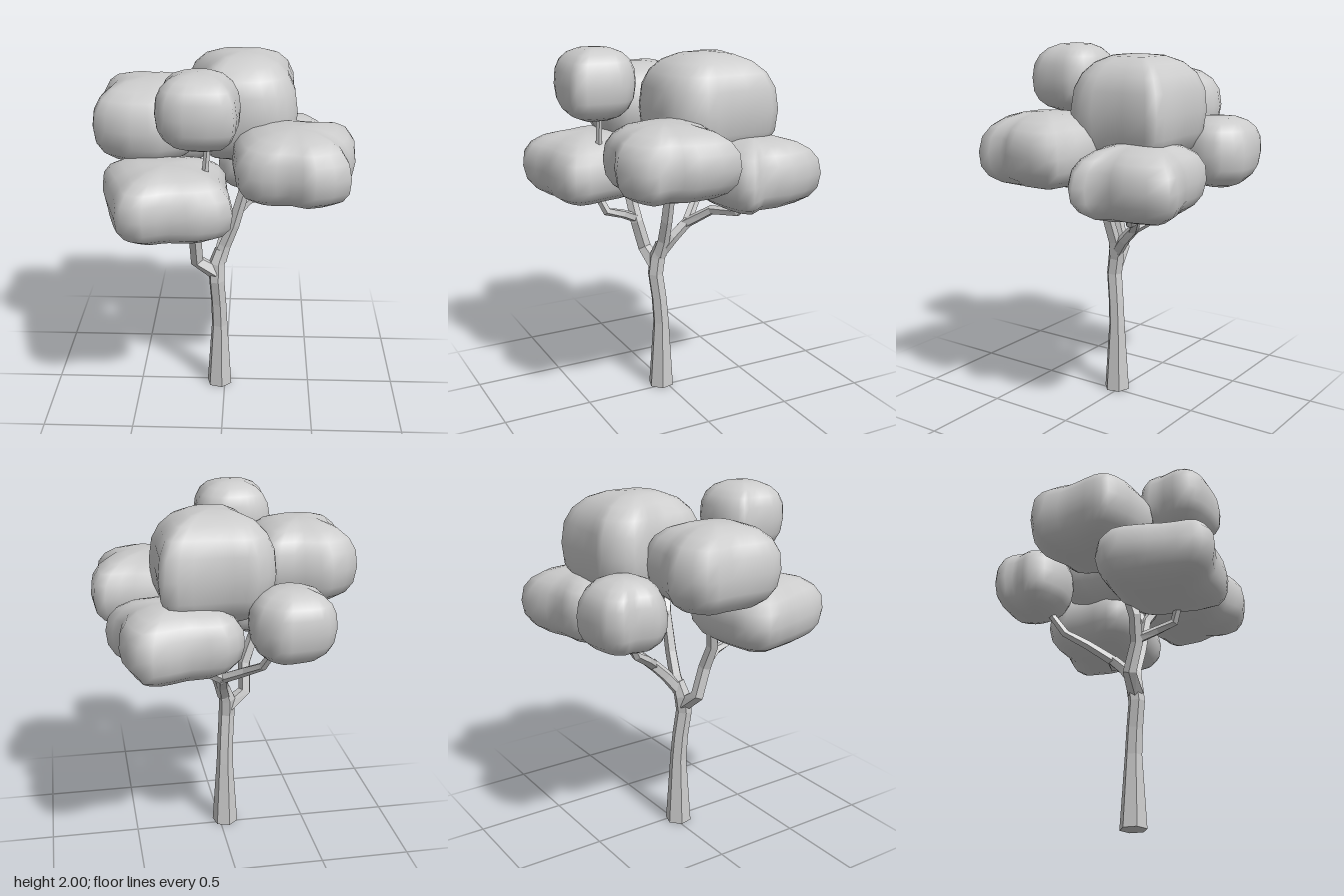
import * as THREE from 'three';

const smooth = new THREE.MeshStandardMaterial({ color: 0xcccccc });
const faceted = new THREE.MeshStandardMaterial({ color: 0xcccccc, flatShading: true });

// Closed skin over equal-sized rings, from the bottom point to the top point
function loft(name, rings, bottom, top, material) {
  const n = rings.length, sides = rings[0].length, idx = [];
  const first = n * sides, last = first + 1, t = (n - 1) * sides;
  for (let j = 0; j < sides; j++) {
    const k = (j + 1) % sides;
    for (let i = 0; i < n - 1; i++) {
      const a = i * sides + j, b = i * sides + k, c = a + sides, d = b + sides;
      idx.push(a, c, b, b, c, d);
    }
    idx.push(first, j, k, last, t + k, t + j);
  }
  const g = new THREE.BufferGeometry().setFromPoints([...rings.flat(), bottom, top]);
  g.setIndex(idx);
  g.computeVertexNormals();
  const mesh = new THREE.Mesh(g, material);
  mesh.name = name;
  return mesh;
}

// Faceted limb through stations [x, y, z, radius]
function limb(name, stations, sides = 5) {
  const pts = stations.map(s => new THREE.Vector3(s[0], s[1], s[2]));
  const up = new THREE.Vector3(0, 1, 0), n = pts.length;
  const rings = pts.map((p, i) => {
    const dir = pts[Math.min(i + 1, n - 1)].clone().sub(pts[Math.max(i - 1, 0)]).normalize();
    if (p.y === 0) dir.copy(up);
    const q = new THREE.Quaternion().setFromUnitVectors(up, dir);
    return Array.from({ length: sides }, (_, j) => {
      const a = (j / sides) * Math.PI * 2 + 0.3, r = stations[i][3];
      return new THREE.Vector3(Math.cos(a) * r, 0, Math.sin(a) * r).applyQuaternion(q).add(p);
    });
  });
  return loft(name, rings, pts[0], pts[n - 1], faceted);
}

// Leaf cushion: a plan outline [x, z] shrunk along a rounded profile from y0 to y1
function foliage(name, y0, y1, outline) {
  const pts = outline.map(([x, z]) => new THREE.Vector3(x, 0, z));
  const curve = new THREE.CatmullRomCurve3(pts, true, 'catmullrom', 0.35);
  const plan = curve.getPoints(28).slice(0, -1);
  const centre = new THREE.Box3().setFromPoints(pts).getCenter(new THREE.Vector3());
  const mid = (y0 + y1) / 2, half = (y1 - y0) / 2, power = 2 / 2.5, levels = 10;
  const rings = [];
  for (let i = 1; i < levels; i++) {
    const a = (i / levels - 0.5) * Math.PI;
    const scale = Math.cos(a) ** power;
    const y = mid + half * Math.sign(a) * Math.abs(Math.sin(a)) ** power;
    rings.push(plan.map(p => {
      const v = p.clone().sub(centre);
      // gentle lumps, fading out at the widest level
      const lump = 1 + 0.05 * Math.sin(a) * Math.sin(11 * p.x + 9 * p.z);
      return v.multiplyScalar(scale * lump).add(centre).setY(y);
    }));
  }
  return loft(name, rings, centre.clone().setY(y0), centre.clone().setY(y1), smooth);
}

export function createModel() {
  const tree = new THREE.Group();
  tree.name = 'tree';

  const wood = new THREE.Group();
  wood.name = 'wood';
  wood.add(
    limb('trunk', [
      [-0.032, 0, 0.025, 0.075], [-0.03, 0.4, 0.025, 0.048], [-0.035, 0.55, 0.035, 0.046],
      [-0.045, 0.7, 0.053, 0.046], [-0.045, 0.8, 0.04, 0.047], [-0.02, 0.88, 0.025, 0.038],
    ], 6),
    limb('frontLeftBranch', [
      [-0.03, 0.82, 0.035, 0.042], [0, 0.91, 0.025, 0.036], [0.05, 1.04, 0.03, 0.034],
      [0.11, 1.26, 0.035, 0.032], [0.2, 1.42, 0.1, 0.026],
    ]),
    limb('crownBranch', [
      [0.1, 1.2, 0.035, 0.028], [0.11, 1.35, -0.02, 0.026], [0.08, 1.6, -0.12, 0.02],
    ]),
    limb('rightBranch', [
      [-0.05, 0.75, 0.05, 0.045], [-0.155, 0.83, 0.07, 0.039], [-0.16, 0.99, 0.115, 0.037],
      [-0.21, 1.13, 0.13, 0.034], [-0.3, 1.52, 0.04, 0.026],
    ]),
    limb('frontBranch', [
      [-0.165, 1.01, 0.12, 0.028], [-0.12, 1.06, 0.22, 0.026], [-0.11, 1.09, 0.32, 0.025],
      [-0.14, 1.2, 0.37, 0.022], [-0.09, 1.45, 0.37, 0.018], [-0.07, 1.66, 0.37, 0.016],
    ]),
    limb('backBranch', [
      [-0.03, 0.83, 0.03, 0.038], [-0.005, 0.92, -0.04, 0.035], [0.01, 1.01, -0.13, 0.032],
    ]),
    limb('backLeftBranch', [
      [0.005, 0.99, -0.11, 0.031], [0.13, 1.09, -0.21, 0.028], [0.29, 1.11, -0.28, 0.025],
      [0.36, 1.22, -0.34, 0.02],
    ]),
    limb('backRightBranch', [
      [0.01, 1, -0.12, 0.03], [-0.1, 1.08, -0.23, 0.027], [-0.17, 1.15, -0.34, 0.024],
      [-0.25, 1.36, -0.47, 0.018],
    ]),
  );

  const crown = new THREE.Group();
  crown.name = 'crown';
  crown.add(
    foliage('topFoliage', 1.38, 1.97, [
      [-0.21, -0.42], [-0.1, -0.5], [0.03, -0.49], [0.26, -0.49], [0.38, -0.46], [0.375, -0.2],
      [0.39, -0.04], [0.33, 0.07], [0.19, 0.14], [-0.09, 0.13], [-0.16, 0.04], [-0.17, -0.17], [-0.22, -0.31],
    ]),
    foliage('topFrontFoliage', 1.61, 2, [
      [-0.32, 0.24], [-0.26, 0.19], [-0.18, 0.165], [-0.05, 0.165], [0.05, 0.22], [0.09, 0.3], [0.08, 0.43],
      [0.06, 0.55], [-0.07, 0.575], [-0.2, 0.57], [-0.29, 0.53], [-0.33, 0.44], [-0.31, 0.32],
    ]),
    foliage('rightFoliage', 1.42, 1.87, [
      [-0.68, -0.26], [-0.51, -0.35], [-0.35, -0.3], [-0.19, -0.29], [-0.13, -0.12], [-0.13, 0.08],
      [-0.18, 0.22], [-0.33, 0.3], [-0.52, 0.28], [-0.66, 0.21], [-0.69, 0.12], [-0.67, -0.08],
    ]),
    foliage('lowFrontRightFoliage', 1.13, 1.52, [
      [-0.645, 0.17], [-0.55, 0.07], [-0.35, 0.04], [-0.1, 0.06], [0.01, 0.15], [0.03, 0.35], [0.06, 0.56],
      [-0.09, 0.63], [-0.26, 0.64], [-0.4, 0.69], [-0.51, 0.65], [-0.56, 0.5], [-0.61, 0.34],
    ]),
    foliage('frontLeftFoliage', 1.27, 1.67, [
      [0.045, 0.08], [0.09, -0.04], [0.2, -0.1], [0.39, -0.11], [0.56, -0.08], [0.69, -0.06], [0.69, 0.17],
      [0.63, 0.3], [0.65, 0.43], [0.47, 0.515], [0.34, 0.47], [0.2, 0.47], [0.08, 0.4], [0.05, 0.25],
    ]),
    foliage('backLeftFoliage', 1.14, 1.54, [
      [-0.04, -0.5], [0.06, -0.6], [0.24, -0.6], [0.36, -0.64], [0.52, -0.66], [0.59, -0.44], [0.57, -0.28],
      [0.64, -0.17], [0.58, -0.1], [0.4, -0.06], [0.2, -0.03], [0.04, -0.05], [-0.04, -0.15], [-0.03, -0.33],
    ]),
    foliage('backRightFoliage', 1.24, 1.63, [
      [-0.485, -0.6], [-0.42, -0.67], [-0.31, -0.69], [-0.18, -0.69], [-0.08, -0.59], [-0.06, -0.49],
      [-0.08, -0.38], [-0.16, -0.3], [-0.3, -0.27], [-0.44, -0.32], [-0.49, -0.41], [-0.465, -0.51],
    ]),
  );

  tree.add(wood, crown);
  return tree;
}
